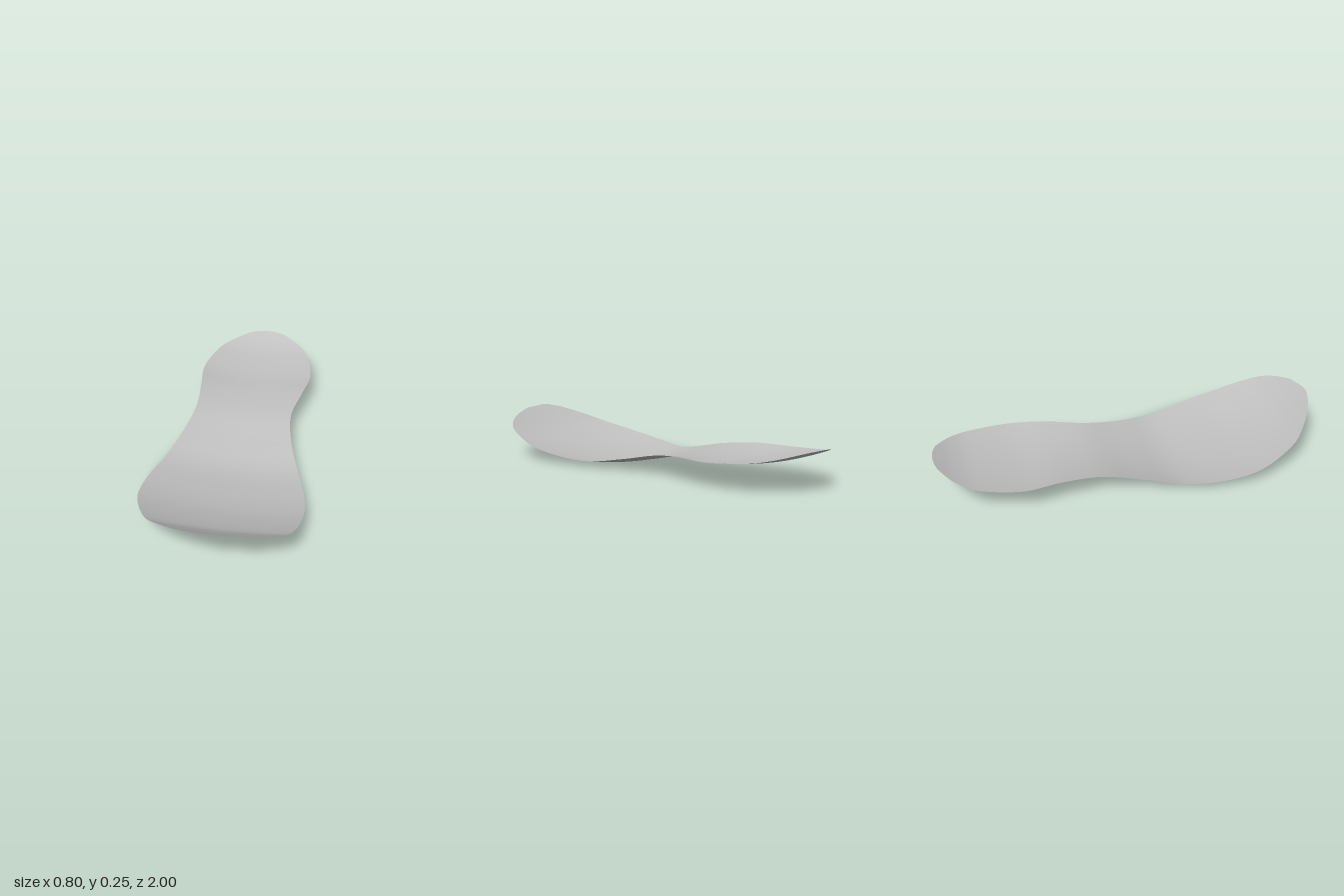
import * as THREE from 'three';

// Cross-sections from heel to toe: z, right edge x, left edge x, centre height, cupping
const SECTIONS = [
  [-1, -0.022, -0.018, 0.188, 0.2],
  [-0.9975, -0.055, 0.015, 0.187, 0.2],
  [-0.99, -0.09, 0.05, 0.184, 0.2],
  [-0.97, -0.14, 0.1, 0.175, 0.2],
  [-0.9, -0.23, 0.19, 0.147, 0.22],
  [-0.8, -0.295, 0.25, 0.122, 0.25],
  [-0.6, -0.335, 0.29, 0.1, 0.28],
  [-0.4, -0.31, 0.265, 0.097, 0.35],
  [-0.2, -0.29, 0.232, 0.08, 0.36],
  [0, -0.315, 0.262, 0.037, 0.35],
  [0.2, -0.36, 0.323, 0.003, 0.28],
  [0.4, -0.398, 0.378, 0.015, 0.22],
  [0.6, -0.39, 0.4, 0.05, 0.2],
  [0.8, -0.3, 0.374, 0.117, 0.2],
  [0.9, -0.2, 0.305, 0.177, 0.2],
  [0.97, -0.085, 0.185, 0.228, 0.2],
  [0.99, -0.025, 0.105, 0.243, 0.2],
  [0.9975, 0.0, 0.062, 0.249, 0.2],
  [1, 0.028, 0.032, 0.251, 0.2],
];

// Smooth curve through chosen columns of the section table
const curveOf = (a, b, c) => new THREE.CatmullRomCurve3(
  SECTIONS.map((s) => new THREE.Vector3(s[a], s[b], s[c])), false, 'catmullrom', 0.5);

export function createModel() {
  const group = new THREE.Group();
  group.name = 'insole';

  const grey = new THREE.MeshStandardMaterial({ color: 0xc0c0c0, side: THREE.DoubleSide });
  grey.name = 'light grey';

  // Thin sheet bent along its length and cupped across its width
  const outline = curveOf(0, 1, 2);
  const profile = curveOf(3, 4, 0);
  const rows = 144, cols = 28;
  const geometry = new THREE.PlaneGeometry(1, 1, cols, rows);
  const pos = geometry.attributes.position;
  for (let i = 0; i <= rows; i++) {
    const edge = outline.getPoint(i / rows);
    const height = profile.getPoint(i / rows);
    for (let j = 0; j <= cols; j++) {
      const x = THREE.MathUtils.lerp(edge.y, edge.z, j / cols);
      pos.setXYZ(i * (cols + 1) + j, x, height.x + height.y * x * x, edge.x);
    }
  }
  geometry.computeVertexNormals();

  const sole = new THREE.Mesh(geometry, grey);
  sole.name = 'soleSheet';
  group.add(sole);
  return group;
}
